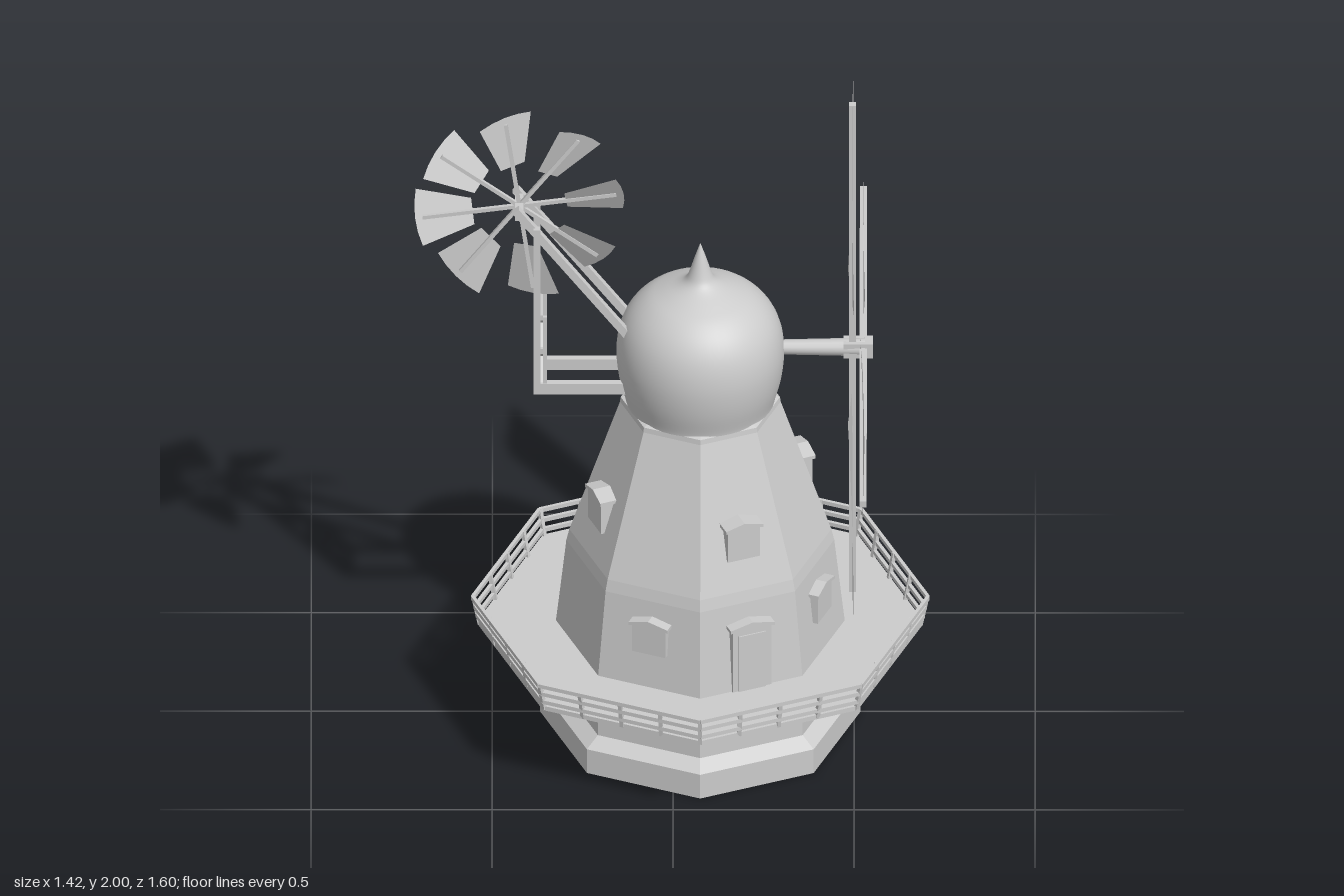
import * as THREE from 'three';

const AXIS_X = 0.075; // tower axis
const DEG = Math.PI / 180;
const flat = new THREE.MeshStandardMaterial({ color: 0xcccccc, flatShading: true, side: THREE.DoubleSide });
const smooth = new THREE.MeshStandardMaterial({ color: 0xcccccc, side: THREE.DoubleSide });

function add(parent, name, geometry, material = flat) {
  const mesh = new THREE.Mesh(geometry, material);
  mesh.name = name;
  parent.add(mesh);
  return mesh;
}

const vec = (x, y, z) => new THREE.Vector3(x, y, z);
const profile = (pts) => pts.map(([r, y]) => new THREE.Vector2(r, y));

// Square bar between two points of its parent
function bar(parent, name, a, b, w, d = w) {
  const mesh = add(parent, name, new THREE.BoxGeometry(w, d, a.distanceTo(b)));
  mesh.position.copy(a).add(b).multiplyScalar(0.5);
  mesh.quaternion.setFromRotationMatrix(new THREE.Matrix4().lookAt(b, a, vec(0, 1, 0)));
  return mesh;
}

// Corner i of the octagon (corners lie on the axes)
const corner = (i, r, y) => vec(r * Math.cos(i * 45 * DEG), y, r * Math.sin(i * 45 * DEG));

// Group whose +z points out of the wall at the given angle (from +x towards +z)
function onFace(parent, name, angle) {
  const g = new THREE.Group();
  g.name = name;
  g.rotation.y = Math.PI / 2 - angle * DEG;
  parent.add(g);
  return g;
}

// Outline with a low gable or round arch on top
function openingShape(w, h, rise, arched) {
  const s = new THREE.Shape();
  s.moveTo(-w / 2, 0);
  s.lineTo(w / 2, 0);
  s.lineTo(w / 2, h - rise);
  if (arched) s.absarc(0, h - w / 2, w / 2, 0, Math.PI, false);
  else { s.lineTo(0, h); s.lineTo(-w / 2, h - rise); }
  s.closePath();
  return s;
}

// Upright block standing out of the sloping wall, with a little gabled lid
function dormer(parent, name, angle, y, h, w, front, depth) {
  const g = onFace(parent, name, angle);
  const body = new THREE.ExtrudeGeometry(openingShape(w, h - 0.008, 0.012), { depth, bevelEnabled: false });
  add(g, name + 'Body', body).position.set(0, y, front - depth);
  const lid = new THREE.Shape(profile([
    [-w / 2 - 0.008, h - 0.024], [0, h - 0.008], [w / 2 + 0.008, h - 0.024],
    [w / 2 + 0.008, h - 0.014], [0, h], [-w / 2 - 0.008, h - 0.014]]));
  add(g, name + 'Lid', new THREE.ExtrudeGeometry(lid, { depth: depth + 0.006, bevelEnabled: false }))
    .position.set(0, y, front - depth);
  return g;
}

// Octagonal skirt broken by the doorway, open below, lofted from one cross-section
function plinthGeometry() {
  const section = [[0.443, 0], [0.443, 0.078], [0.4, 0.105], [0.4, 0]];
  const angles = [-11, 0, 45, 90, 135, 180, 225, 270, 315, 326];
  const pos = [], idx = [], n = section.length;
  for (const a of angles) {
    const off = ((a + 360) % 45) - 22.5;
    const k = Math.cos(22.5 * DEG) / Math.cos(off * DEG);
    for (const [r, y] of section) pos.push(r * k * Math.cos(a * DEG), y, r * k * Math.sin(a * DEG));
  }
  for (let i = 0; i < angles.length - 1; i++) {
    for (let j = 0; j < 2; j++) {
      const a = i * n + j, b = a + 1;
      idx.push(a, b, a + n, b, b + n, a + n);
    }
  }
  const e = (angles.length - 1) * n;
  idx.push(0, 2, 1, 0, 3, 2, e, e + 1, e + 2, e, e + 2, e + 3);
  const g = new THREE.BufferGeometry();
  g.setAttribute('position', new THREE.Float32BufferAttribute(pos, 3));
  g.setIndex(idx);
  g.computeVertexNormals();
  return g;
}

function buildTower(root) {
  const tower = new THREE.Group();
  tower.name = 'tower';
  tower.position.x = AXIS_X;
  root.add(tower);

  add(tower, 'walls', new THREE.LatheGeometry(profile([
    [0.4, 0.1], [0.4, 0.29], [0.39, 0.38], [0.37, 0.565], [0.362, 0.6], [0.222, 1.02], [0.22, 1.035], [0.2, 1.042]]), 8));
  add(tower, 'plinth', plinthGeometry());

  // Cap with its spike
  const dome = profile([
    [0.206, 1.035], [0.209, 1.05], [0.222, 1.1], [0.23, 1.15], [0.232, 1.2], [0.226, 1.25], [0.211, 1.295],
    [0.185, 1.335], [0.148, 1.368], [0.105, 1.39], [0.065, 1.408], [0.042, 1.425],
    [0.03, 1.45], [0.016, 1.495], [0.001, 1.54]]);
  add(tower, 'cap', new THREE.LatheGeometry(new THREE.SplineCurve(dome).getPoints(48), 48), smooth);

  // Ground floor: door in the gap of the plinth, and arched windows
  const door = onFace(tower, 'groundDoor', -22.5);
  add(door, 'doorwayWall', new THREE.BoxGeometry(0.152, 0.105, 0.004)).position.set(0, 0.0525, 0.3675);
  add(door, 'doorFrame', new THREE.BoxGeometry(0.11, 0.19, 0.03)).position.set(0, 0.105, 0.365);
  add(door, 'doorLeaf', new THREE.BoxGeometry(0.088, 0.178, 0.01)).position.set(0, 0.1, 0.378);
  for (const a of [22.5, -67.5, 157.5]) {
    const win = onFace(tower, 'archedWindow', a);
    const frame = openingShape(0.074, 0.125, 0.037, true);
    frame.holes.push(new THREE.Path(openingShape(0.054, 0.105, 0.027, true).getPoints(8)
      .map((p) => p.add(new THREE.Vector2(0, 0.01)))));
    add(win, 'windowFrame', new THREE.ExtrudeGeometry(frame, { depth: 0.025, bevelEnabled: false, curveSegments: 8 }))
      .position.set(0, 0.1, 0.352);
    add(win, 'windowPane', new THREE.ShapeGeometry(openingShape(0.066, 0.115, 0.033, true)))
      .position.set(0, 0.105, 0.372);
  }

  // Windows and door above the deck, then the middle row
  for (const a of [22.5, 112.5, 202.5, -67.5]) dormer(tower, 'deckWindow', a, 0.41, 0.11, 0.1, 0.372, 0.06);
  const deckDoor = dormer(tower, 'deckDoor', 67.5, 0.3, 0.22, 0.115, 0.374, 0.06);
  add(deckDoor, 'deckDoorLeaf', new THREE.BoxGeometry(0.08, 0.18, 0.006)).position.set(0, 0.39, 0.375);
  for (const a of [67.5, 157.5, 247.5, -22.5]) dormer(tower, 'middleWindow', a, 0.69, 0.12, 0.095, 0.316, 0.07);

  // Deck plate with a hole for the tower, and its flared railing
  const oct = (r) => profile([0, 1, 2, 3, 4, 5, 6, 7].map((i) => [r * Math.cos(i * 45 * DEG), r * Math.sin(i * 45 * DEG)]));
  const plate = new THREE.Shape(oct(0.615));
  plate.holes.push(new THREE.Path(oct(0.39)));
  const deck = add(tower, 'deck', new THREE.ExtrudeGeometry(plate, { depth: 0.014, bevelEnabled: false }));
  deck.rotation.x = -Math.PI / 2;
  deck.position.y = 0.286;
  for (let i = 0; i < 8; i++) {
    for (const [r, y] of [[0.616, 0.316], [0.622, 0.345], [0.629, 0.374]]) {
      bar(tower, 'rail', corner(i, r, y), corner(i + 1, r, y), 0.01, 0.012);
    }
    for (let k = 0; k < 4; k++) {
      const at = (r, y) => corner(i, r, y).lerp(corner(i + 1, r, y), k / 4);
      bar(tower, 'railPost', at(0.609, 0.288), at(0.627, 0.378), 0.011);
    }
  }
}

function buildSails(root) {
  const sails = new THREE.Group();
  sails.name = 'sails';
  sails.position.y = 1.2;
  root.add(sails);
  const shaft = add(sails, 'windshaft', new THREE.CylinderGeometry(0.026, 0.02, 0.27, 12), smooth);
  shaft.rotation.z = -Math.PI / 2;
  shaft.position.x = 0.395;
  bar(sails, 'hub', vec(0.47, 0, 0), vec(0.552, 0, 0), 0.046);

  for (let k = 0; k < 4; k++) {
    const arm = new THREE.Group();
    arm.name = 'sail';
    arm.position.x = k % 2 ? 0.525 : 0.495;
    arm.rotation.x = k * Math.PI / 2;
    sails.add(arm);
    bar(arm, 'sailStock', vec(0, 0, 0), vec(0, 0.8, 0), 0.02);
    // Cloth, pitched more towards the root
    const cloth = new THREE.PlaneGeometry(0.245, 0.66, 4, 10);
    cloth.rotateY(Math.PI / 2);
    cloth.translate(0, 0.47, -0.0525);
    const p = cloth.attributes.position;
    for (let i = 0; i < p.count; i++) {
      const t = (p.getY(i) - 0.14) / 0.66;
      p.setX(i, p.getZ(i) * (0.09 * (1 - t) * (1 - t) - 0.02));
    }
    cloth.computeVertexNormals();
    add(arm, 'sailCloth', cloth, smooth);
  }
}

function buildFantail(root) {
  const tail = new THREE.Group();
  tail.name = 'fantail';
  root.add(tail);
  const hub = vec(-0.425, 1.665, 0);

  // Beams, posts and sloping struts on both sides
  for (const s of [-1, 1]) {
    const z = s * 0.062;
    bar(tail, 'tailBeam', vec(-0.385, 1.107, z), vec(-0.06, 1.107, z), 0.02, 0.034);
    bar(tail, 'tailPost', vec(-0.376, 1.09, z), vec(-0.376, 1.63, z), 0.02);
    bar(tail, 'tailStrut', vec(-0.1, 1.24, z * 0.85), vec(-0.435, 1.685, z * 0.85), 0.022);
    bar(tail, 'rearPost', vec(-0.354, 1.12, z), vec(-0.354, 1.34, z), 0.012);
    // Cross bracing between the posts
    for (const y of [1.12, 1.23]) bar(tail, 'crossBrace', vec(-0.365, y, -z), vec(-0.365, y + 0.11, z), 0.01);
  }
  for (const y of [1.107, 1.23, 1.34]) bar(tail, 'crossTie', vec(-0.368, y, -0.07), vec(-0.368, y, 0.07), 0.016);
  bar(tail, 'fanAxle', vec(hub.x, hub.y, -0.06), vec(hub.x, hub.y, 0.06), 0.024);

  // Eight pitched blades on spokes
  const blade = new THREE.Shape(profile([
    [0.13, -0.037], [0.279, -0.08], [0.288, -0.04], [0.291, 0], [0.288, 0.04], [0.279, 0.08], [0.13, 0.037]]));
  for (let i = 0; i < 8; i++) {
    const g = new THREE.Group();
    g.name = 'fanBlade';
    g.position.copy(hub);
    g.rotation.z = (8 + i * 45) * DEG;
    tail.add(g);
    bar(g, 'spoke', vec(0, 0, 0), vec(0.27, 0, 0), 0.011);
    add(g, 'blade', new THREE.ShapeGeometry(blade)).rotation.x = 27 * DEG;
  }
}

export function createModel() {
  const root = new THREE.Group();
  root.name = 'windmill';
  buildTower(root);
  buildSails(root);
  buildFantail(root);
  return root;
}
